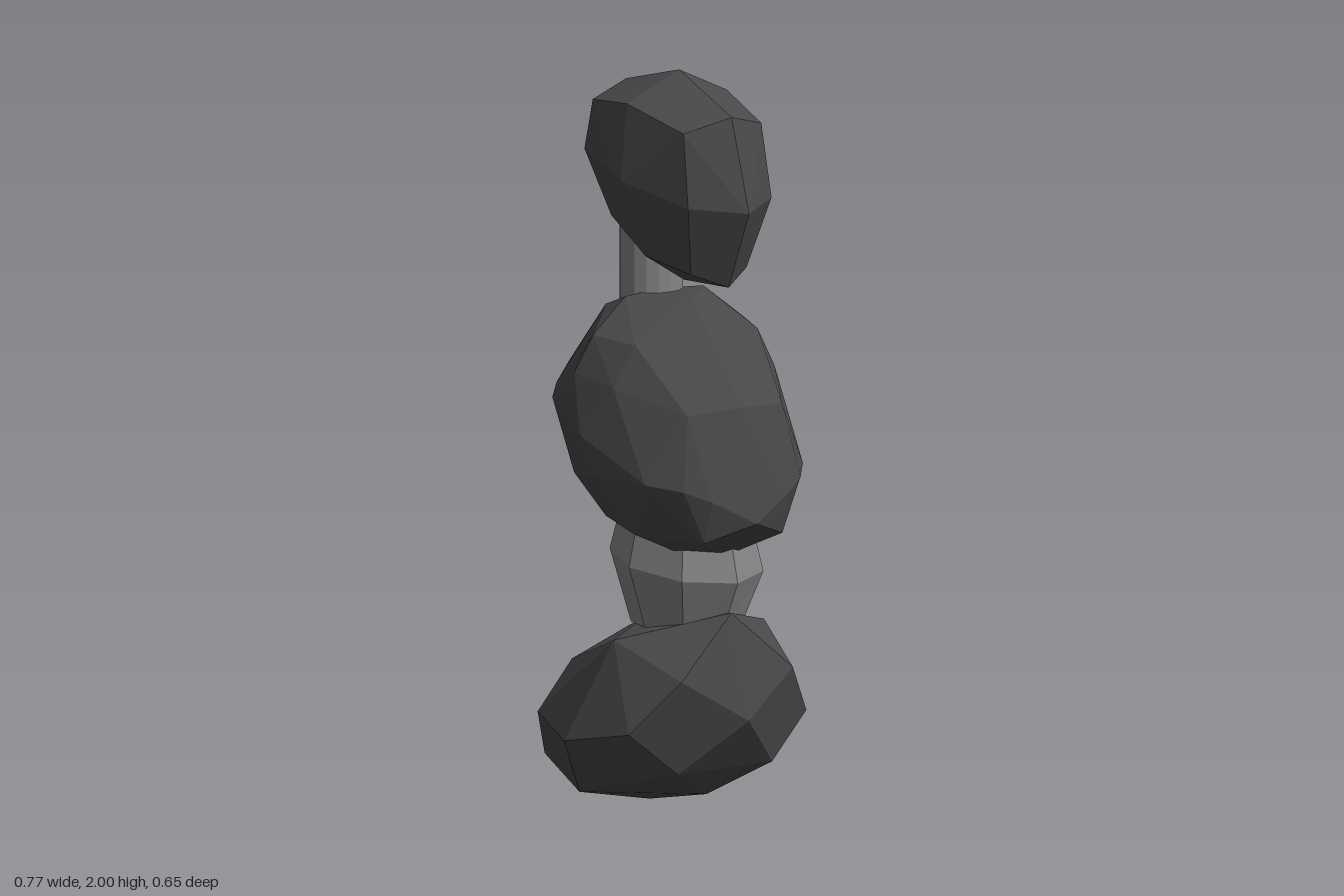
import * as THREE from 'three';
import { ConvexGeometry } from 'three/addons/geometries/ConvexGeometry.js';

const material = (color) => {
  const m = new THREE.MeshStandardMaterial({ flatShading: true });
  m.color.set(color);
  return m;
};
const dark = material(0x484848);
const grey = material(0x858585);

// Faceted convex body from a centre outline [y, z] and side points [x, y, z] that are mirrored
function facetedBody(name, outline, sides) {
  const points = outline.map(([y, z]) => new THREE.Vector3(0, y, z));
  for (const [x, y, z] of sides) {
    points.push(new THREE.Vector3(x, y, z), new THREE.Vector3(-x, y, z));
  }
  const mesh = new THREE.Mesh(new ConvexGeometry(points), dark);
  mesh.name = name;
  return mesh;
}

// Waist: eight-sided barrel whose widest ring dips towards the front
function makeWaist() {
  const geometry = new THREE.CylinderGeometry(1, 1, 2, 8, 2);
  const rings = [[0.5, 0.15, 0], [0.67, 0.207, 0.2], [0.82, 0.17, 0.2]];
  const p = geometry.attributes.position;
  for (let i = 0; i < p.count; i++) {
    const [y, r, tilt] = rings[Math.round(p.getY(i) + 1)];
    const z = p.getZ(i) * r;
    p.setXYZ(i, p.getX(i) * r, y - z * tilt, z + 0.04);
  }
  geometry.computeVertexNormals();
  const mesh = new THREE.Mesh(geometry, grey);
  mesh.name = 'waist';
  return mesh;
}

export function createModel() {
  const group = new THREE.Group();
  group.name = 'torsoFigure';

  group.add(facetedBody('head',
    [[1.64, 0.293], [1.895, 0.222], [2, 0.01], [1.95, -0.205], [1.79, -0.257], [1.58, -0.17], [1.43, 0.03], [1.43, 0.21]],
    [[0.15, 1.66, 0.215], [0.14, 1.86, 0.185], [0.18, 1.925, 0], [0.155, 1.915, -0.165], [0.17, 1.78, -0.182],
      [0.12, 1.6, -0.13], [0.14, 1.51, 0.03], [0.1, 1.47, 0.17], [0.218, 1.72, 0.02]]));

  // Chest, leaning back at the top: upper, front, back, flank and lower points
  group.add(facetedBody('chest',
    [[0.8, 0.325], [1.11, 0.265], [1.38, 0.06], [1.395, -0.07], [1.22, -0.302], [0.97, -0.262], [0.78, -0.12], [0.7, 0.2]],
    [[0.14, 1.39, -0.05], [0.14, 1.36, -0.13], [0.265, 1.3, -0.04], [0.22, 1.28, 0.08],
      [0.14, 0.87, 0.3], [0.21, 0.9, 0.265], [0.285, 0.92, 0.19], [0.17, 1.1, 0.235],
      [0.13, 1.19, -0.285], [0.21, 1.14, -0.25], [0.305, 1.12, -0.16], [0.17, 0.98, -0.235],
      [0.315, 1.2, -0.06], [0.29, 1.17, 0.07], [0.348, 1.04, 0], [0.325, 0.93, 0.05], [0.28, 0.92, -0.1],
      [0.24, 0.77, 0.1], [0.14, 0.72, 0.15], [0.14, 0.755, 0.27], [0.21, 0.8, -0.05]]));

  group.add(facetedBody('pelvis',
    [[0.26, 0.293], [0.545, 0.22], [0.53, 0.07], [0.505, -0.11], [0.27, -0.327], [0.04, -0.305], [0, -0.11], [0.04, 0.12]],
    [[0.32, 0.24, 0.165], [0.2, 0.38, 0.245], [0.27, 0.48, 0.05], [0.19, 0.39, -0.21], [0.318, 0.26, -0.205],
      [0.193, 0.12, -0.317], [0.27, 0.05, -0.09], [0.17, 0.12, 0.195], [0.387, 0.21, -0.02]]));

  group.add(makeWaist());

  // Neck: slim upright column set towards the back
  const neck = new THREE.Mesh(new THREE.CylinderGeometry(1, 1, 0.4, 16), grey);
  neck.name = 'neck';
  neck.scale.set(0.094, 1, 0.076);
  neck.position.set(0, 1.5, -0.102);
  group.add(neck);

  return group;
}
